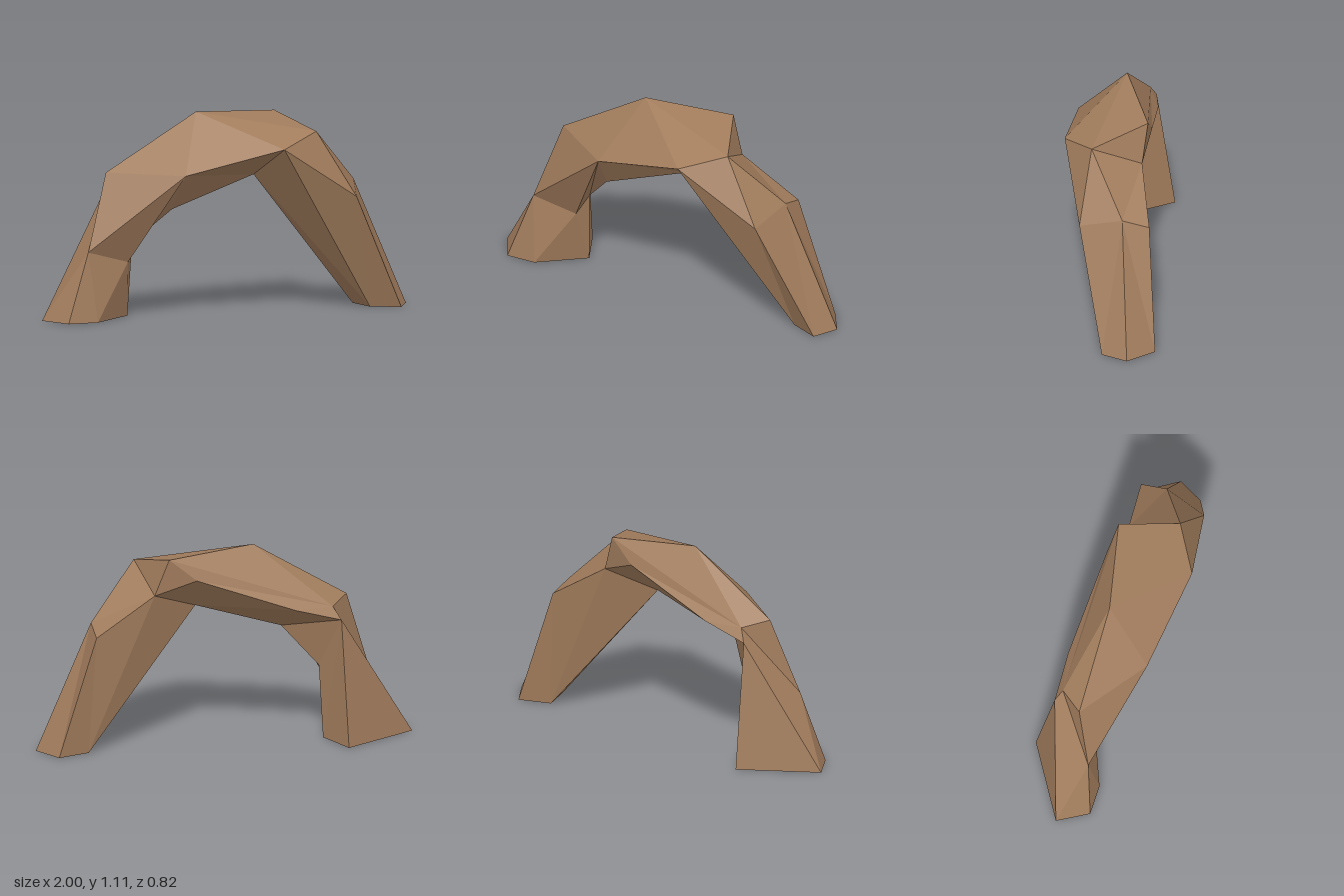
import * as THREE from 'three';

// Corners shared by neighbouring cross-sections
const rightShin = [-0.75, 0.38, 0.32];
const rightKnee = [-0.53, 0.31, 0.21];
const rightInner = [-0.505, 0.405, 0.13];
const rightBack = [-0.64, 0.7, 0.02];
const rightToe = [-1, 0, 0.28];
const spanFront = [-0.22, 0.8, 0.34];
const crownFront = [0.32, 0.93, 0.26];
const crownUnder = [0.16, 0.76, 0.02];
const shoulder = [0.5, 1, 0.055];
const backNotch = [0.36, 0.87, -0.19];
const leftHeel = [0.71, 0, -0.3];

// Cross-sections of six corners from the right foot, over the span, to the left foot.
// A corner repeated within or between sections merges the faces there.
const sections = [
  [rightToe, [-0.86, 0, 0.41], [-0.7, 0, 0.36], [-0.53, 0, 0.11], [-0.69, 0, -0.07], rightToe],
  [rightShin, rightShin, rightKnee, rightInner, rightBack, rightBack],
  [[-0.65, 0.8, 0.19], spanFront, spanFront, [-0.29, 0.6, 0.21], [-0.4, 0.77, -0.06], [-0.59, 0.77, 0.04]],
  [[-0.155, 1.11, 0.045], crownFront, crownFront, crownUnder, [0.13, 0.96, -0.18], [0.28, 1.08, -0.2]],
  [shoulder, shoulder, crownFront, crownUnder, backNotch, backNotch],
  [[0.71, 0.705, -0.18], [0.72, 0.64, 0.06], crownFront, crownUnder, backNotch, [0.665, 0.66, -0.32]],
  [[1, 0, -0.29], [0.97, 0, -0.14], [0.8, 0, -0.16], leftHeel, leftHeel, [0.86, 0, -0.41]],
];

// Which way each four-sided face is creased, per band between sections
const creases = ['011000', '001101', '100110', '000000', '000000', '001011'];

function archGeometry() {
  const positions = [];
  const tri = (a, b, c) => {
    if (a !== b && b !== c && c !== a) positions.push(...a, ...b, ...c);
  };

  // Faceted skin between sections
  creases.forEach((crease, s) => {
    const lo = sections[s], hi = sections[s + 1];
    for (let i = 0; i < 6; i++) {
      const j = (i + 1) % 6;
      const a = lo[i], b = lo[j], c = hi[j], d = hi[i];
      if (crease[i] === '1') {
        tri(a, b, d);
        tri(b, c, d);
      } else {
        tri(a, b, c);
        tri(a, c, d);
      }
    }
  });

  // Flat undersides of both feet
  const first = sections[0], last = sections[sections.length - 1];
  for (let i = 1; i < 5; i++) {
    tri(first[0], first[i + 1], first[i]);
    tri(last[0], last[i], last[i + 1]);
  }

  const geometry = new THREE.BufferGeometry();
  geometry.setAttribute('position', new THREE.Float32BufferAttribute(positions, 3));
  geometry.computeVertexNormals();
  return geometry;
}

export function createModel() {
  const sandstone = new THREE.MeshStandardMaterial({ color: 0xa17c5c });
  sandstone.name = 'sandstone';
  sandstone.flatShading = true;

  const group = new THREE.Group();
  group.name = 'rockArch';
  const arch = new THREE.Mesh(archGeometry(), sandstone);
  arch.name = 'archStone';
  group.add(arch);
  return group;
}
